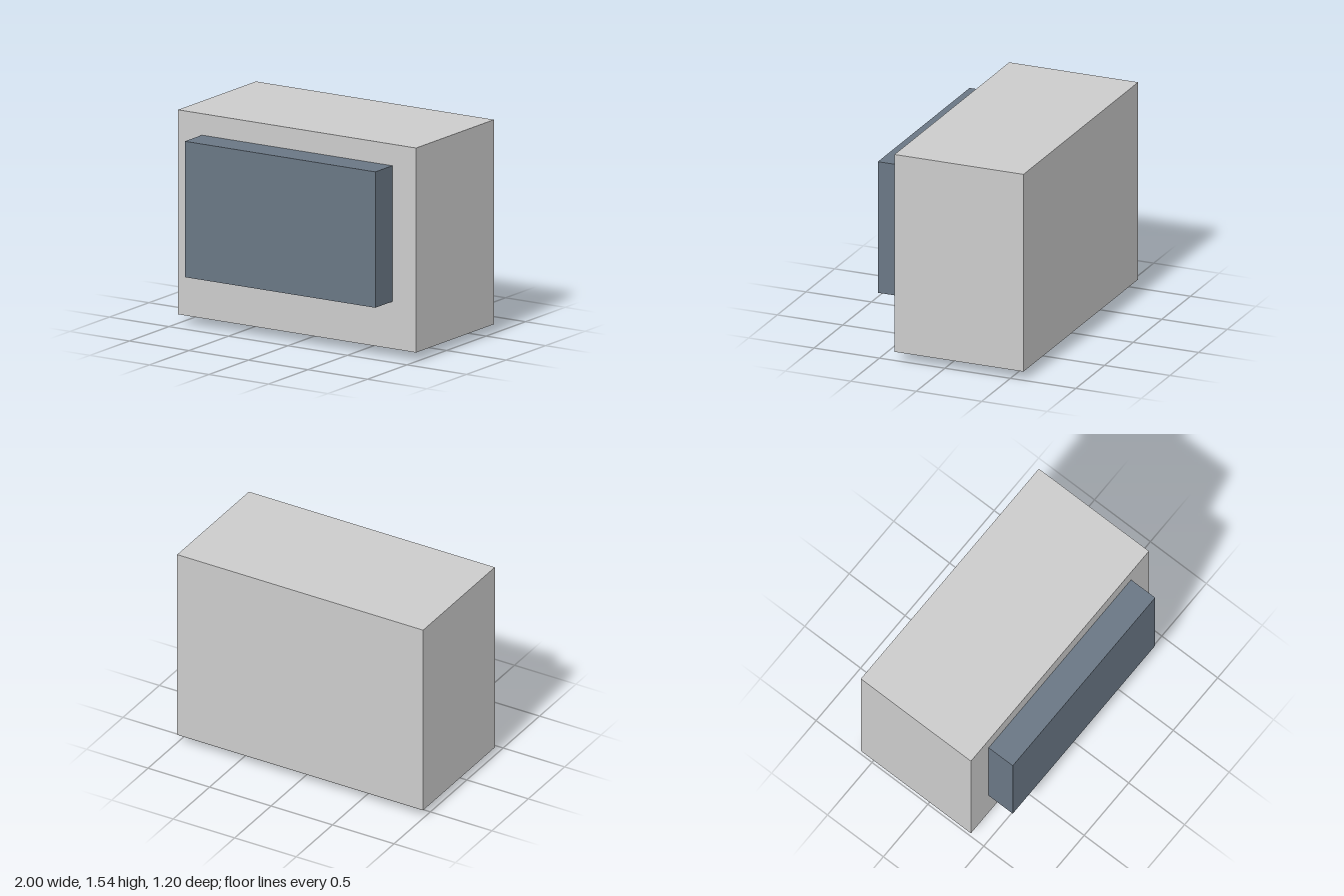
import * as THREE from 'three';

// Box given by its lower and upper corners
function box(name, color, min, max) {
  const size = max.map((v, i) => v - min[i]);
  const mesh = new THREE.Mesh(
    new THREE.BoxGeometry(...size),
    new THREE.MeshStandardMaterial({ color })
  );
  mesh.name = name;
  mesh.position.set(...min.map((v, i) => (v + max[i]) / 2));
  return mesh;
}

export function createModel() {
  const model = new THREE.Group();
  model.name = 'boxMonitor';

  // Main housing
  model.add(box('housing', 0xcccccc, [-1, 0.065, -0.6], [1, 1.54, 0.385]));

  // Raised screen block on the front
  model.add(box('screen', 0x6a7785, [-0.8, 0.405, 0.385], [0.8, 1.385, 0.6]));

  // Low foot bar underneath, set towards the back
  model.add(box('foot', 0x84919d, [-0.555, 0, -0.35], [0.555, 0.065, -0.105]));

  return model;
}
